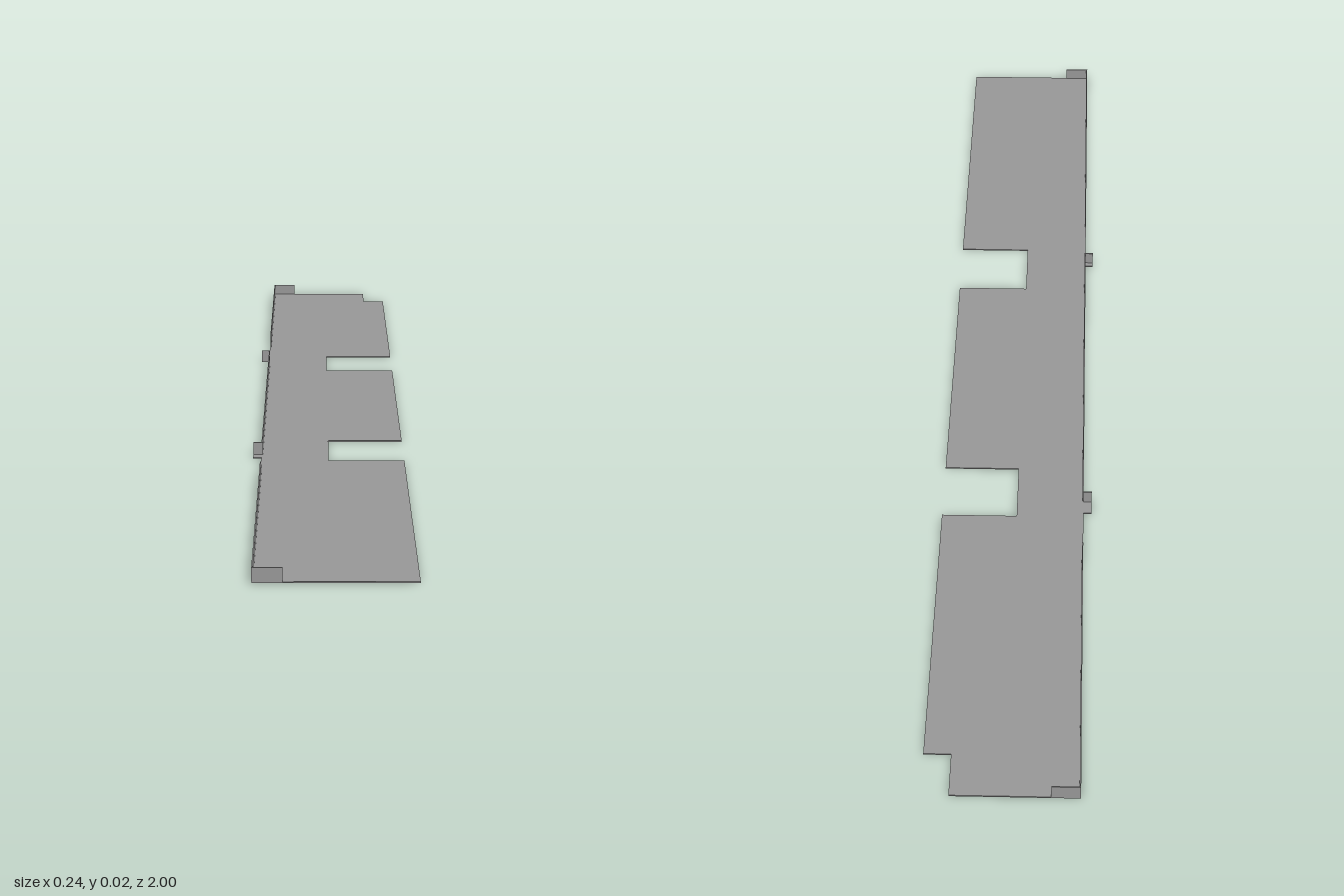
import * as THREE from 'three';

export function createModel() {
  const model = new THREE.Group();
  const steel = new THREE.MeshStandardMaterial({ color: 0x999999 });
  const T = 0.002; // sheet thickness
  const H = 0.022; // flange height
  const L = -0.107; // flanged long edge
  const R = 0.12; // notched long edge
  const OUT = -0.12; // outer end of the small tabs

  // Box given by its extents
  function box(name, x0, x1, y0, y1, z0, z1) {
    const geometry = new THREE.BoxGeometry(x1 - x0, y1 - y0, z1 - z0);
    const mesh = new THREE.Mesh(geometry, steel);
    mesh.position.set((x0 + x1) / 2, (y0 + y1) / 2, (z0 + z1) / 2);
    mesh.name = name;
    model.add(mesh);
  }

  // Flat sheet with two side slots, a corner notch and two floor tabs, as [x, z]
  const outline = [
    [L, 1], [R, 1], [R, 0.37], [0, 0.37], [0, 0.245], [R, 0.245],
    [R, -0.27], [0, -0.27], [0, -0.39], [R, -0.39], [R, -0.92], [0.08, -0.92],
    [0.08, -1], [L, -1],
    [L, -0.38], [OUT, -0.38], [OUT, -0.35], [L, -0.35],
    [L, 0.32], [OUT, 0.32], [OUT, 0.35], [L, 0.35],
  ];
  const shape = new THREE.Shape(outline.map(([x, z]) => new THREE.Vector2(x, -z)));
  const sheet = new THREE.ExtrudeGeometry(shape, { depth: T, bevelEnabled: false });
  sheet.rotateX(-Math.PI / 2);
  const basePlate = new THREE.Mesh(sheet, steel);
  basePlate.name = 'basePlate';
  model.add(basePlate);

  // Upright flanges along the long edge
  for (const [z0, z1] of [[-1, -0.475], [-0.35, 0.333], [0.45, 1]]) {
    box('sideFlange', L, L + T, T, H, z0, z1);
  }

  // Short returns turned inwards at both ends
  box('frontReturn', L + T, -0.065, T, H, 1 - T, 1);
  box('backReturn', L + T, -0.065, T, H, -1, -1 + T);

  // Lugs turned outwards at the ends of the middle flange
  box('frontLug', OUT, L, T, H, 0.333 - T, 0.333);
  box('backLug', OUT, L, T, H, -0.352, -0.35);

  return model;
}
